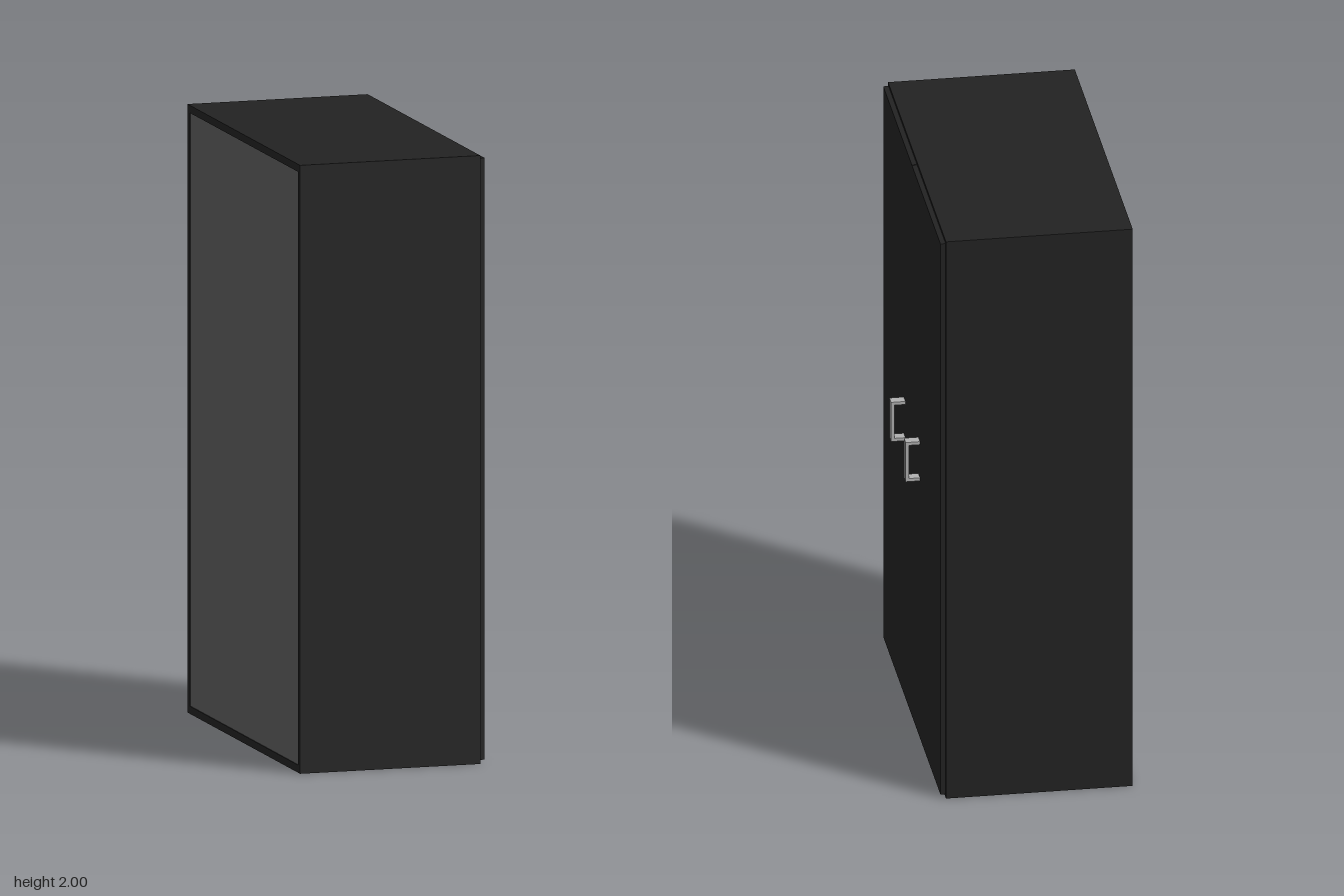
import * as THREE from 'three';

const mat = (name, color) => {
  const m = new THREE.MeshStandardMaterial({ color });
  m.name = name;
  return m;
};

export function createModel() {
  const black = mat('black panel', 0x222222);
  const grey = mat('grey backing', 0x5c5c5c);
  const metal = mat('light metal', 0xb0b0b0);
  const cabinet = new THREE.Group();
  cabinet.name = 'cabinet';

  // Box given by its minimum and maximum corners
  const box = (parent, name, material, [x0, y0, z0], [x1, y1, z1]) => {
    const mesh = new THREE.Mesh(new THREE.BoxGeometry(x1 - x0, y1 - y0, z1 - z0), material);
    mesh.position.set((x0 + x1) / 2, (y0 + y1) / 2, (z0 + z1) / 2);
    mesh.name = name;
    parent.add(mesh);
    return mesh;
  };

  const back = -0.338, front = 0.274, half = 0.604, t = 0.025;

  // Carcass: top, bottom and two sides around a backing board
  box(cabinet, 'bottomPanel', black, [back, 0, -half], [front, t, half]);
  box(cabinet, 'topPanel', black, [back, 2 - t, -half], [front, 2, half]);
  for (const [s, side] of [[1, 'near'], [-1, 'far']]) {
    const z = [s * half, s * (half - t)].sort((a, b) => a - b);
    box(cabinet, side + 'SidePanel', black, [back, t, z[0]], [front, 2 - t, z[1]]);
  }
  box(cabinet, 'backPanel', grey, [back + 0.003, t, -half + t], [back + 0.015, 2 - t, half - t]);

  // Pair of doors, each with a squared pull handle
  for (const [s, side] of [[1, 'near'], [-1, 'far']]) {
    const z = [s * 0.002, s * 0.596].sort((a, b) => a - b);
    box(cabinet, side + 'Door', black, [front, 0.012, z[0]], [0.291, 1.99, z[1]]);

    const handle = new THREE.Group();
    handle.name = side + 'Handle';
    const z0 = s * 0.152 - 0.017, z1 = s * 0.152 + 0.017;
    box(handle, 'handleGrip', metal, [0.327, 0.936, z0], [0.338, 1.077, z1]);
    for (const y of [0.936, 1.066])
      box(handle, 'handlePost', metal, [0.291, y, z0], [0.327, y + 0.011, z1]);
    cabinet.add(handle);
  }
  return cabinet;
}
